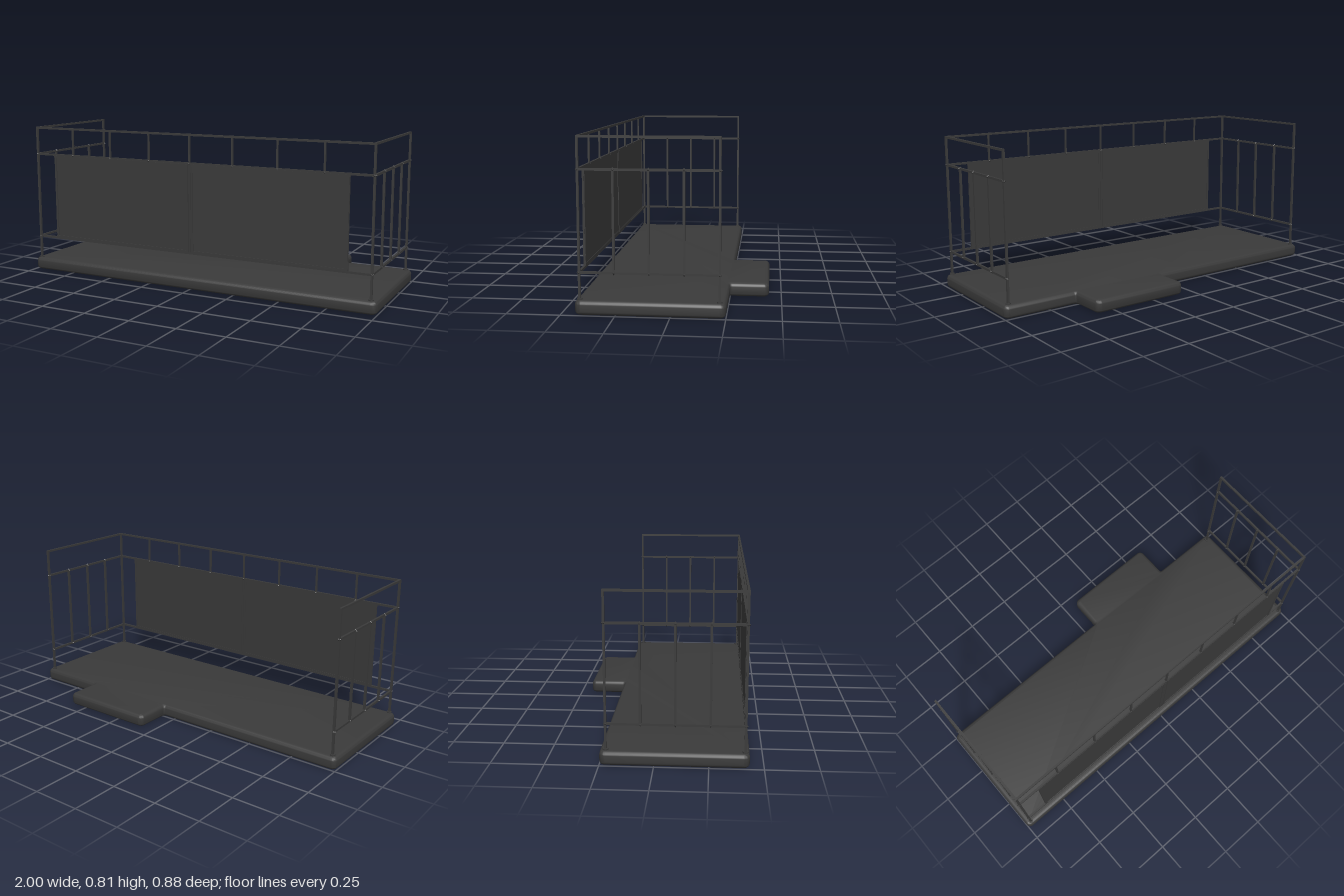
import * as THREE from 'three';
import { toCreasedNormals } from 'three/addons/utils/BufferGeometryUtils.js';

const SLAB = 0.068, TOP = 0.807, MID = 0.661, LOW = 0.193;
const X = 0.969, FRONT = 0.415, BACK = -0.221, T = 0.011;

// closed outline from [x, y, corner radius] points
function roundedOutline(points) {
  const shape = new THREE.Shape();
  const n = points.length;
  const toward = (a, b, r) => {
    const p = new THREE.Vector2(a[0], a[1]);
    return p.add(new THREE.Vector2(b[0] - a[0], b[1] - a[1]).setLength(r));
  };
  points.forEach((p, i) => {
    const start = toward(p, points[(i + n - 1) % n], p[2]);
    const end = toward(p, points[(i + 1) % n], p[2]);
    if (i === 0) shape.moveTo(start.x, start.y);
    else shape.lineTo(start.x, start.y);
    shape.quadraticCurveTo(p[0], p[1], end.x, end.y);
  });
  shape.closePath();
  return shape;
}

export function createModel() {
  const model = new THREE.Group();
  model.name = 'balcony';
  const darkMetal = new THREE.MeshStandardMaterial({ color: 0x3a3a3a });
  darkMetal.name = 'dark grey';

  const add = (name, geometry, x, y, z) => {
    const mesh = new THREE.Mesh(geometry, darkMetal);
    mesh.name = name;
    mesh.position.set(x, y, z);
    model.add(mesh);
    return mesh;
  };
  const box = (name, w, h, d, x, y, z) => add(name, new THREE.BoxGeometry(w, h, d), x, y, z);
  const upright = (name, x, z, y0, y1, t = T) => box(name, t, y1 - y0, t, x, (y0 + y1) / 2, z);
  const jointGeometry = new THREE.OctahedronGeometry(0.011);
  const joint = (x, y, z) => add('weldJoint', jointGeometry, x, y, z);

  // floor slab with a doorstep at the back and rounded edges
  const b = 0.02, r = 0.01;
  const outline = roundedOutline([
    [-1 + b, -0.435 + b, r], [1 - b, -0.435 + b, r], [1 - b, 0.25 - b, r],
    [0.605 - b, 0.25 - b, 0.03], [0.605 - b, 0.44 - b, r],
    [0.067 + b, 0.44 - b, r], [0.067 + b, 0.25 - b, 0.03], [-1 + b, 0.25 - b, r],
  ]);
  const slab = new THREE.ExtrudeGeometry(outline, {
    depth: SLAB - 2 * b, bevelSize: b, bevelThickness: b, bevelSegments: 5, curveSegments: 6,
  });
  slab.rotateX(-Math.PI / 2);
  add('floorSlab', toCreasedNormals(slab, 0.7), 0, b, 0);

  // corner posts with foot plates, and side railings
  for (const s of [-1, 1]) {
    for (const z of [FRONT, BACK]) {
      upright('cornerPost', s * X, z, SLAB - 0.005, TOP);
      add('footPlate', new THREE.CylinderGeometry(0.013, 0.013, 0.006, 12), s * X, SLAB + 0.003, z);
      for (const y of [LOW, MID]) joint(s * X, y, z);
    }
    for (const y of [LOW, MID, TOP]) {
      box('sideRail', T, T, FRONT - BACK + T, s * X, y, (FRONT + BACK) / 2);
    }
    for (let i = 1; i < 4; i++) {
      const z = FRONT + (BACK - FRONT) * i / 4;
      upright('sideBaluster', s * X, z, LOW, MID);
      for (const y of [LOW, MID]) joint(s * X, y, z);
    }
  }

  // front railing
  for (const y of [LOW, MID, TOP]) box('frontRail', 2 * X + T, T, T, 0, y, FRONT);
  for (let i = -3; i <= 3; i++) {
    upright('frontBaluster', i * X / 4, FRONT, MID, TOP, 0.009);
    joint(i * X / 4, MID, FRONT);
  }

  // framed privacy panels
  const y0 = LOW + 0.004, y1 = MID - 0.004, h = y1 - y0, cy = (y0 + y1) / 2;
  for (const s of [-1, 1]) {
    const inner = 0.008, outer = 0.853, w = outer - inner, cx = s * (inner + outer) / 2;
    box('panel', w, h, 0.005, cx, cy, FRONT);
    for (const x of [inner + 0.006, outer - 0.008]) {
      box('panelFrameSide', 0.012, h, 0.012, s * x, cy, FRONT + 0.001);
    }
    for (const y of [y0 + 0.005, y1 - 0.005]) {
      box('panelFrameEdge', w, 0.01, 0.012, cx, y, FRONT + 0.001);
    }
  }
  upright('centrePost', 0, FRONT, LOW, MID);

  return model;
}
